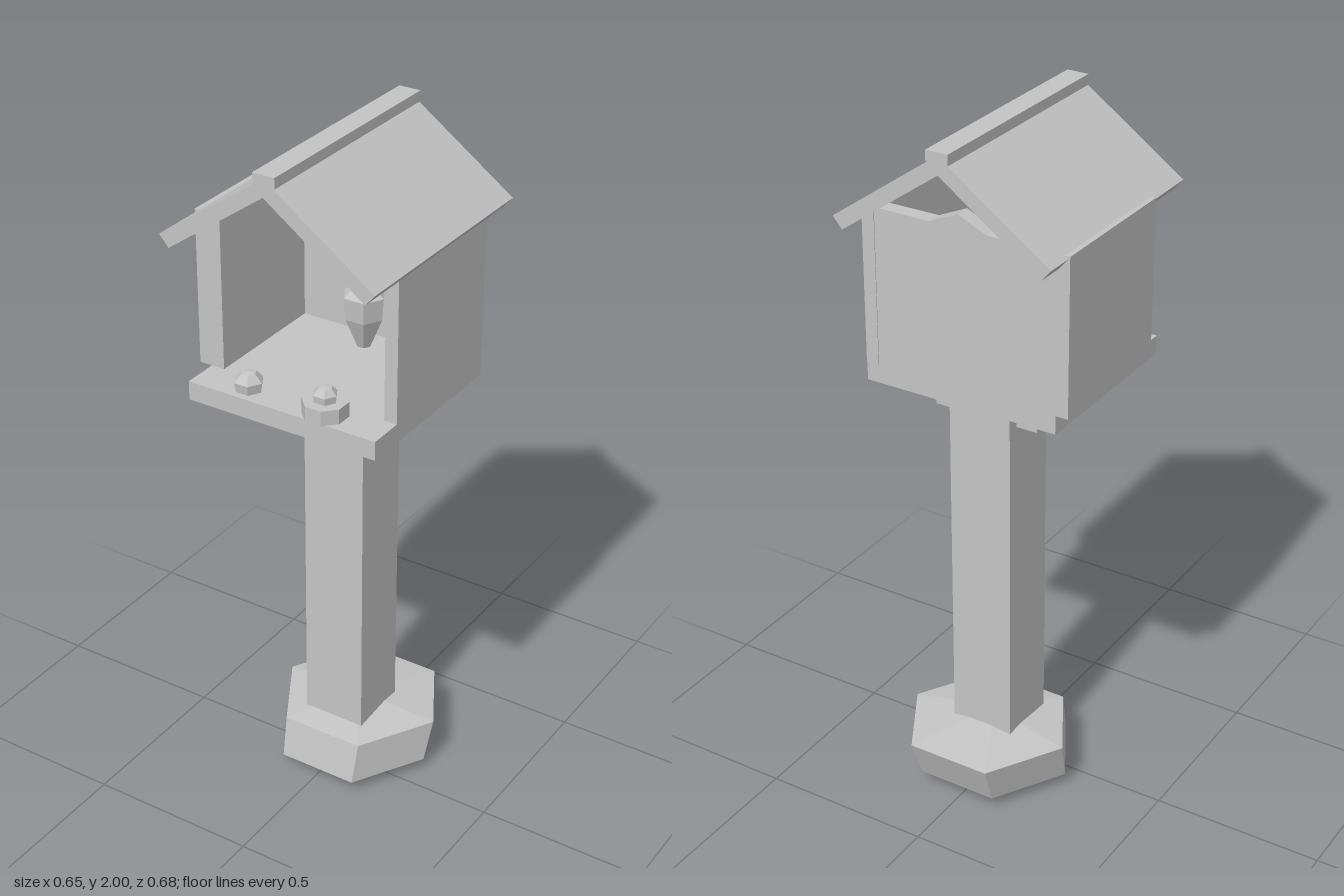
import * as THREE from 'three';

export function createModel() {
  const model = new THREE.Group();
  model.name = 'birdHouse';
  const stone = new THREE.MeshStandardMaterial({ color: 0xc4c4c4 });
  stone.name = 'plain grey';

  const add = (name, geometry) => {
    const mesh = new THREE.Mesh(geometry, stone);
    mesh.name = name;
    model.add(mesh);
    return mesh;
  };

  // box given by its lower and upper corners
  const box = (name, x0, x1, y0, y1, z0, z1) => {
    const mesh = add(name, new THREE.BoxGeometry(x1 - x0, y1 - y0, z1 - z0));
    mesh.position.set((x0 + x1) / 2, (y0 + y1) / 2, (z0 + z1) / 2);
    return mesh;
  };

  // faceted solid of revolution from [radius, y] pairs, bottom to top
  const faceted = (name, profile, sides, x, z, shift = () => 0) => {
    let g = new THREE.LatheGeometry(profile.map(([r, y]) => new THREE.Vector2(r, y)), sides, Math.PI / sides);
    const p = g.attributes.position;
    for (let i = 0; i < p.count; i++) p.setZ(i, p.getZ(i) + shift(p.getY(i)));
    g = g.toNonIndexed();
    g.computeVertexNormals();
    const mesh = add(name, g);
    mesh.position.set(x, 0, z);
    return mesh;
  };

  // outline in x and y, extruded along z
  const prism = (name, points, z0, z1) => {
    const shape = new THREE.Shape(points.map(([x, y]) => new THREE.Vector2(x, y)));
    const mesh = add(name, new THREE.ExtrudeGeometry(shape, { depth: z1 - z0, bevelEnabled: false }));
    mesh.position.z = z0;
    return mesh;
  };

  // leaning foot stone, post and cross bar
  faceted('footStone', [[0, 0.02], [0.24, 0.035], [0.25, 0.155], [0, 0.19]], 6, 0.01, -0.085,
    (y) => (y > 0.1 && y < 0.17 ? -0.025 : y < 0.1 ? 0.01 : 0));
  box('post', -0.09, 0.1, 0, 1.27, -0.153, 0.035);
  box('crossBar', -0.155, 0.165, 1.167, 1.255, -0.12, 0.012);

  // house
  box('floor', -0.29, 0.293, 1.265, 1.32, -0.255, 0.285);
  box('rightWall', -0.328, -0.25, 1.32, 1.77, -0.257, 0.18);
  box('leftWall', 0.255, 0.293, 1.32, 1.77, -0.257, 0.18);
  prism('backWall', [[-0.25, 1.32], [0.255, 1.32], [0.255, 1.77], [0.085, 1.77],
    [0, 1.808], [-0.085, 1.77], [-0.25, 1.77]], -0.255, -0.21);

  // roof
  for (const [name, s] of [['leftRoof', 1], ['rightRoof', -1]]) {
    prism(name, [[0, 1.99], [0, 1.94], [s * 0.295, 1.73], [s * 0.323, 1.763]], -0.34, 0.34);
  }
  box('ridgeCap', -0.03, 0.035, 1.97, 2, -0.34, 0.34);

  // things standing on the floor
  faceted('crystal', [[0, 1.32], [0.02, 1.33], [0.057, 1.42], [0.062, 1.485], [0, 1.54]], 6, 0, -0.125);
  faceted('pebble', [[0, 1.32], [0.038, 1.322], [0.042, 1.35], [0.022, 1.372], [0, 1.375]], 6, -0.13, 0.235);
  faceted('dish', [[0, 1.32], [0.063, 1.32], [0.063, 1.363], [0, 1.363]], 8, 0.11, 0.235);
  faceted('dishPebble', [[0, 1.36], [0.033, 1.363], [0.035, 1.383], [0.02, 1.4], [0, 1.403]], 6, 0.11, 0.235);

  return model;
}
